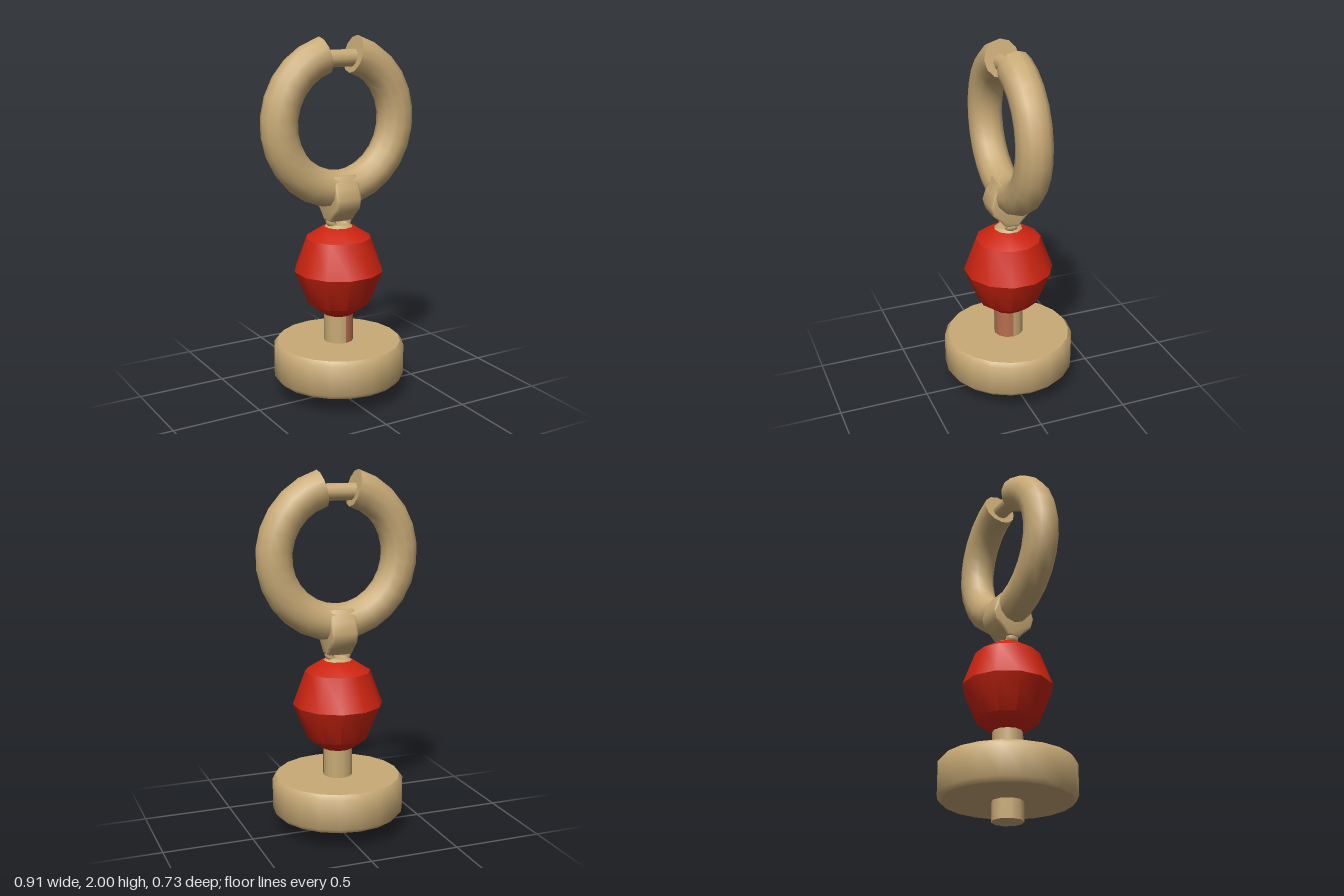
import * as THREE from 'three';
import { toCreasedNormals } from 'three/addons/utils/BufferGeometryUtils.js';

export function createModel() {
  const model = new THREE.Group();
  const material = (name, color) => {
    const m = new THREE.MeshStandardMaterial({ color });
    m.name = name;
    return m;
  };
  const tan = material('tan metal', 0xc8aa76);
  const red = material('red bead', 0xcc2410);
  const blush = material('reddish tan', 0xb86e50);

  const add = (name, geometry, mat, y = 0, parent = model) => {
    const mesh = new THREE.Mesh(geometry, mat);
    mesh.name = name;
    mesh.position.y = y;
    parent.add(mesh);
    return mesh;
  };
  const lathe = (points, sides, crease) => {
    const g = new THREE.LatheGeometry(points.map(([r, y]) => new THREE.Vector2(r, y)), sides);
    return crease ? toCreasedNormals(g, crease) : g;
  };

  // Base disc with softened rims
  add('baseDisc', lathe([[0, 0.105], [0.345, 0.105], [0.365, 0.13], [0.365, 0.295],
    [0.345, 0.32], [0, 0.32]], 20, 0.9), tan);

  // Foot and stem; one quarter of the visible stem is reddish
  add('foot', new THREE.CylinderGeometry(0.085, 0.085, 0.12, 10), tan, 0.06);
  add('stem', new THREE.CylinderGeometry(0.082, 0.082, 0.22, 9, 1, true, Math.PI / 2, Math.PI * 1.5), tan, 0.41);
  add('stemStain', new THREE.CylinderGeometry(0.082, 0.082, 0.22, 3, 1, true, 0, Math.PI / 2), blush, 0.41);

  // Faceted bead
  const bead = add('bead', lathe([[0, 0.475], [0.09, 0.48], [0.17, 0.54], [0.248, 0.73],
    [0.18, 0.915], [0.085, 0.975], [0, 0.98]], 12, 0.6), red);
  bead.rotation.y = Math.PI / 12;
  add('beadCap', new THREE.CylinderGeometry(0.06, 0.085, 0.02, 10), tan, 0.98);

  // Small eyelet between bead and clasp
  const eyelet = add('eyelet', new THREE.TorusGeometry(0.05, 0.025, 8, 14), tan, 1.005);
  eyelet.scale.set(1, 0.6, 1.5);

  // Clasp wrapped around the bottom of the ring
  const half = [[0.035, 1.01], [0.065, 1.045], [0.11, 1.085], [0.125, 1.14], [0.105, 1.2], [0.07, 1.265]];
  const outline = [...half, ...half.slice().reverse().map(([z, y]) => [-z, y])];
  const profile = new THREE.Shape(outline.map(([z, y]) => new THREE.Vector2(z, y)));
  const claspGeometry = new THREE.ExtrudeGeometry(profile, {
    depth: 0.12, bevelEnabled: true, bevelThickness: 0.015, bevelSize: 0.012, bevelOffset: -0.012, bevelSegments: 2,
  });
  claspGeometry.translate(0, 0, -0.06).rotateY(Math.PI / 2);
  add('clasp', toCreasedNormals(claspGeometry, 0.8), tan);

  // Open ring with flat ends and a gap at the top
  const R = 0.357, r = 0.1, gap = 0.26;
  const start = Math.PI / 2 + gap, arc = Math.PI * 2 - gap * 2;
  const ring = new THREE.Group();
  ring.name = 'ring';
  ring.position.y = 1.55;
  ring.scale.set(1, 1.02, 0.96);
  model.add(ring);
  add('ringBody', new THREE.TorusGeometry(R, r, 12, 24, arc).rotateZ(start), tan, 0, ring);
  for (const [name, tilt, angle] of [['ringEndRight', 1, start], ['ringEndLeft', -1, start + arc]]) {
    add(name, new THREE.CircleGeometry(r, 12).rotateX(tilt * Math.PI / 2).translate(R, 0, 0).rotateZ(angle), tan, 0, ring);
  }

  // Pin bridging the gap
  add('pin', new THREE.CylinderGeometry(0.047, 0.047, 0.26, 10).rotateZ(Math.PI / 2), tan, 1.883);

  return model;
}
